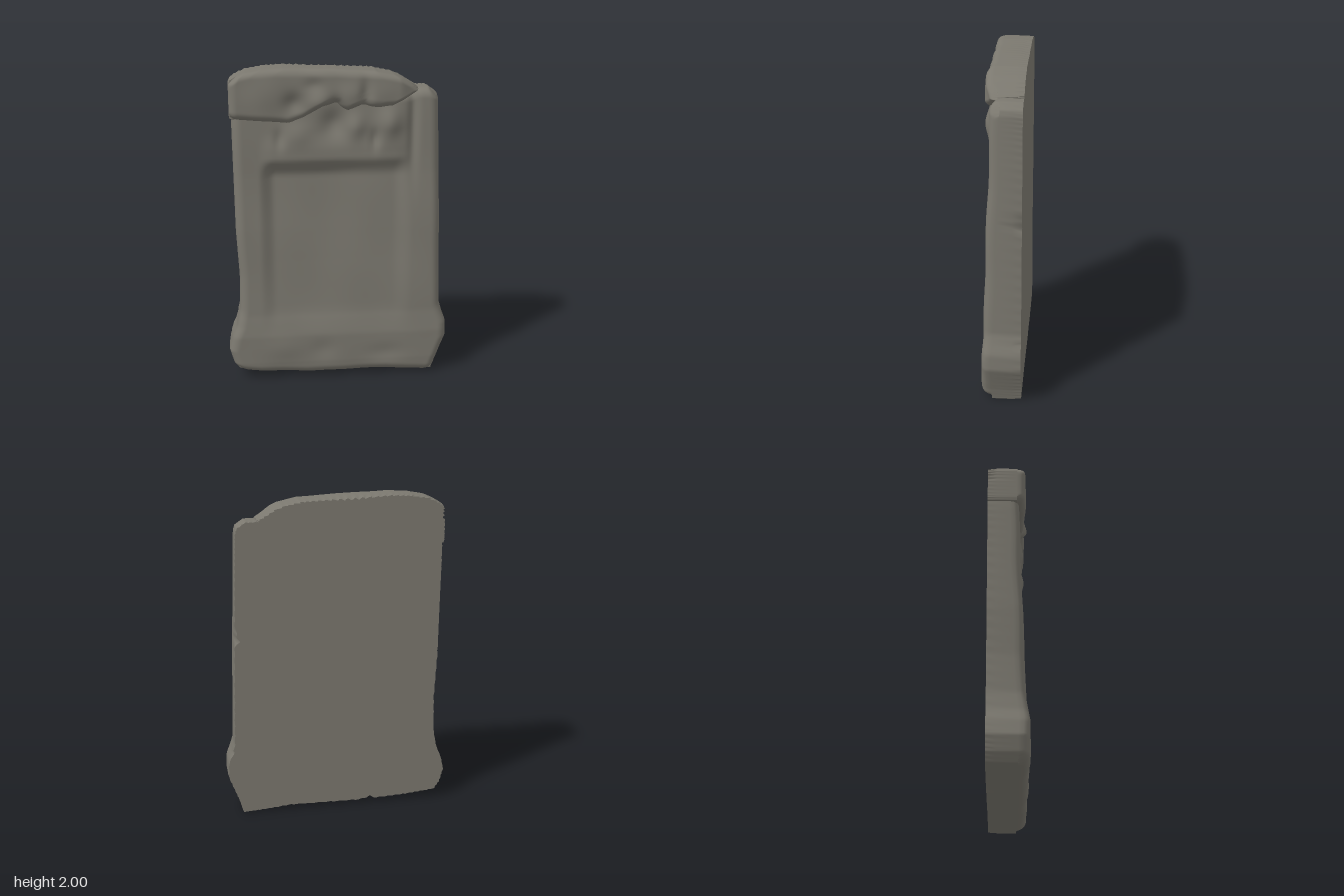
import * as THREE from 'three';

const BACK = -0.125;
const ss = THREE.MathUtils.smoothstep;
const lerp = THREE.MathUtils.lerp;

// Smooth interpolation through [key, value] pairs
function along(pts, t) {
  if (t <= pts[0][0]) return pts[0][1];
  for (let i = 1; i < pts.length; i++) {
    const [a, va] = pts[i - 1], [b, vb] = pts[i];
    if (t <= b) return lerp(va, vb, (t - a) / (b - a));
  }
  return pts[pts.length - 1][1];
}

// Soft round lump
const lump = (x, y, cx, cy, rx, ry, h) => h * Math.exp(-(((x - cx) / rx) ** 2) - ((y - cy) / ry) ** 2);

// Gentle weathering
const wear = (x, y) => 0.004 * Math.sin(9 * x + 4 * y + 1) * Math.sin(7 * y - 5 * x) + 0.002 * Math.sin(23 * x + 11 * y);

// Worn stone: relief front inside four edge curves, rounded rim, side wall, flat back
function stone(name, material, { left, right, top, bottom, height, radius, nx, ny, backInset }) {
  const pos = [], idx = [];
  const ease = t => t - 0.09 * Math.sin(2 * Math.PI * t);
  const xa = bottom[0][0], xb = bottom[bottom.length - 1][0];
  for (let j = 0; j <= ny; j++) for (let i = 0; i <= nx; i++) {
    const u = ease(i / nx), v = ease(j / ny), x0 = lerp(xa, xb, u);
    const y0 = along(bottom, x0), y1 = along(top, x0), y = lerp(y0, y1, v);
    const l = along(left, y), r = along(right, y), x = lerp(l, r, u);
    const ax = Math.max(0, 1 - Math.min(x - l, r - x) / radius);
    const ay = Math.max(0, 1 - Math.min(y - y0, y1 - y) / radius);
    const s = Math.min(1, Math.hypot(ax, ay));
    pos.push(x, y, height(x, y) - radius * (1 - Math.sqrt(1 - s * s)));
  }
  const w = nx + 1;
  for (let j = 0; j < ny; j++) for (let i = 0; i < nx; i++) {
    const a = j * w + i;
    idx.push(a, a + 1, a + w + 1, a, a + w + 1, a + w);
  }
  // rim, counter-clockwise
  const rim = [];
  for (let i = 0; i < nx; i++) rim.push(i);
  for (let j = 0; j < ny; j++) rim.push(j * w + nx);
  for (let i = nx; i > 0; i--) rim.push(ny * w + i);
  for (let j = ny; j > 0; j--) rim.push(j * w);
  // side wall in two bands, the last ring slightly chipped
  const n = rim.length;
  const cx = (xa + xb) / 2, cy = (along(top, cx) + along(bottom, cx)) / 2;
  let ring = rim;
  for (const z of [-0.07, BACK]) {
    const next = rim.map((p, k) => {
      const x = pos[p * 3], y = pos[p * 3 + 1];
      const chip = z === BACK ? backInset(x, y) * (0.6 + 0.4 * Math.sin(k * 1.9)) : 0;
      const d = Math.hypot(x - cx, y - cy);
      pos.push(x - chip * (x - cx) / d, y - chip * (y - cy) / d, z);
      return pos.length / 3 - 1;
    });
    for (let k = 0; k < n; k++) {
      const m = (k + 1) % n;
      idx.push(next[k], next[m], ring[m], next[k], ring[m], ring[k]);
    }
    ring = next;
  }
  // flat back with its own vertices for a sharp edge
  const base = pos.length / 3;
  ring.forEach(p => pos.push(pos[p * 3], pos[p * 3 + 1], BACK));
  pos.push(cx, cy, BACK);
  for (let k = 0; k < n; k++) idx.push(base + n, base + (k + 1) % n, base + k);

  const g = new THREE.BufferGeometry();
  g.setAttribute('position', new THREE.Float32BufferAttribute(pos, 3));
  g.setIndex(idx);
  g.computeVertexNormals();
  const mesh = new THREE.Mesh(g, material);
  mesh.name = name;
  return mesh;
}

// Relief of the slab: swollen foot, side posts, sunken panel, rough band below the cap
function slabHeight(x, y) {
  let z = along([[0, 0.11], [0.12, 0.118], [0.3, 0.118], [0.44, 0.1], [1, 0.085], [1.35, 0.07], [1.9, 0.06]], y);
  const across = ss(x, -0.49, -0.39) * (1 - ss(x, 0.34, 0.46));
  const panel = across * ss(y, 0.3, 0.5) * (1 - ss(y, 1.33, 1.45));
  z -= panel * along([[0.4, 0.012], [0.8, 0.03], [1.36, 0.045]], y) * (1 - 0.3 * ss(x, -0.15, 0.35));
  z += across * 0.012 * ss(y, 1.38, 1.46) * (1 - ss(y, 1.5, 1.62));
  z += lump(x, y, 0.31, 1.66, 0.07, 0.1, 0.04) + lump(x, y, 0.1, 1.64, 0.06, 0.08, 0.03);
  z += lump(x, y, -0.25, 1.6, 0.09, 0.07, 0.02) - lump(x, y, -0.03, 1.66, 0.07, 0.08, 0.03);
  z -= lump(x, y, 0.22, 1.56, 0.025, 0.06, 0.02) + lump(x, y, -0.36, 1.57, 0.03, 0.06, 0.015);
  z -= lump(x, y, 0.455, 1.7, 0.03, 0.35, 0.025);
  z += lump(x, y, -0.35, 0.22, 0.12, 0.08, 0.008) - lump(x, y, -0.1, 0.2, 0.08, 0.07, 0.01);
  z -= lump(x, y, 0.3, 0.16, 0.12, 0.06, 0.01);
  return z + wear(x, y);
}

// Relief of the cap stone: bulging lobes with hollows between
function capHeight(x, y) {
  let z = 0.098 + lump(x, y, -0.5, 1.82, 0.15, 0.1, 0.012) + lump(x, y, 0.28, 1.85, 0.11, 0.09, 0.012);
  z += lump(x, y, -0.12, 1.8, 0.06, 0.05, 0.02) + lump(x, y, 0.06, 1.84, 0.07, 0.07, 0.012);
  z -= lump(x, y, -0.27, 1.79, 0.06, 0.06, 0.025) + lump(x, y, -0.02, 1.78, 0.04, 0.05, 0.025);
  z -= lump(x, y, 0.16, 1.82, 0.035, 0.1, 0.025) + lump(x, y, -0.15, 1.9, 0.06, 0.04, 0.012);
  return z - 0.03 * ss(x, 0.36, 0.47) + wear(x * 1.5, y * 2);
}

export function createModel() {
  const group = new THREE.Group();
  group.name = 'stoneTablet';
  const grey = new THREE.MeshStandardMaterial({ color: 0x7b786f });
  grey.name = 'weathered grey stone';

  group.add(stone('slab', grey, {
    left: [[0.04, -0.6], [0.06, -0.64], [0.11, -0.675], [0.2, -0.7], [0.29, -0.68], [0.36, -0.65], [0.47, -0.628],
      [0.7, -0.622], [1, -0.637], [1.65, -0.643], [1.9, -0.635]],
    right: [[0.01, 0.61], [0.08, 0.63], [0.16, 0.66], [0.25, 0.695], [0.35, 0.692], [0.41, 0.67], [0.47, 0.652],
      [1, 0.638], [1.5, 0.622], [1.8, 0.61], [1.86, 0.59]],
    bottom: [[-0.65, 0.06], [-0.5, 0.04], [-0.2, 0.025], [0.3, 0.03], [0.45, 0.015], [0.62, 0.004]],
    top: [[-0.65, 1.88], [0.45, 1.84], [0.5, 1.865], [0.58, 1.865], [0.62, 1.83]],
    height: slabHeight, radius: 0.06, nx: 90, ny: 120,
    // small chips on the back edge
    backInset: (x, y) => 0.006 + (x > 0.5 ? lump(0, y, 0, 1.17, 1, 0.035, 0.05) + lump(0, y, 0, 0.4, 1, 0.03, 0.02) : 0)
      + (y < 0.1 ? lump(x, 0, -0.2, 0, 0.03, 1, 0.03) : 0)
  }));

  group.add(stone('capStone', grey, {
    left: [[1.68, -0.645], [1.72, -0.655], [1.91, -0.655], [1.95, -0.635], [1.975, -0.6], [1.99, -0.56]],
    right: [[1.7, 0.4], [1.78, 0.42], [1.85, 0.49], [1.88, 0.475], [1.93, 0.44], [1.97, 0.38]],
    bottom: [[-0.65, 1.7], [-0.45, 1.685], [-0.28, 1.67], [-0.18, 1.7], [-0.06, 1.77], [0.02, 1.78], [0.1, 1.74],
      [0.18, 1.77], [0.3, 1.755], [0.38, 1.76], [0.48, 1.83]],
    top: [[-0.65, 1.93], [-0.6, 1.975], [-0.53, 1.992], [-0.38, 2], [0, 1.99], [0.3, 1.975], [0.4, 1.95], [0.48, 1.87]],
    height: capHeight, radius: 0.05, nx: 100, ny: 40,
    backInset: (x, y) => (y > 1.85 ? 0.02 : 0.005)
  }));
  return group;
}
